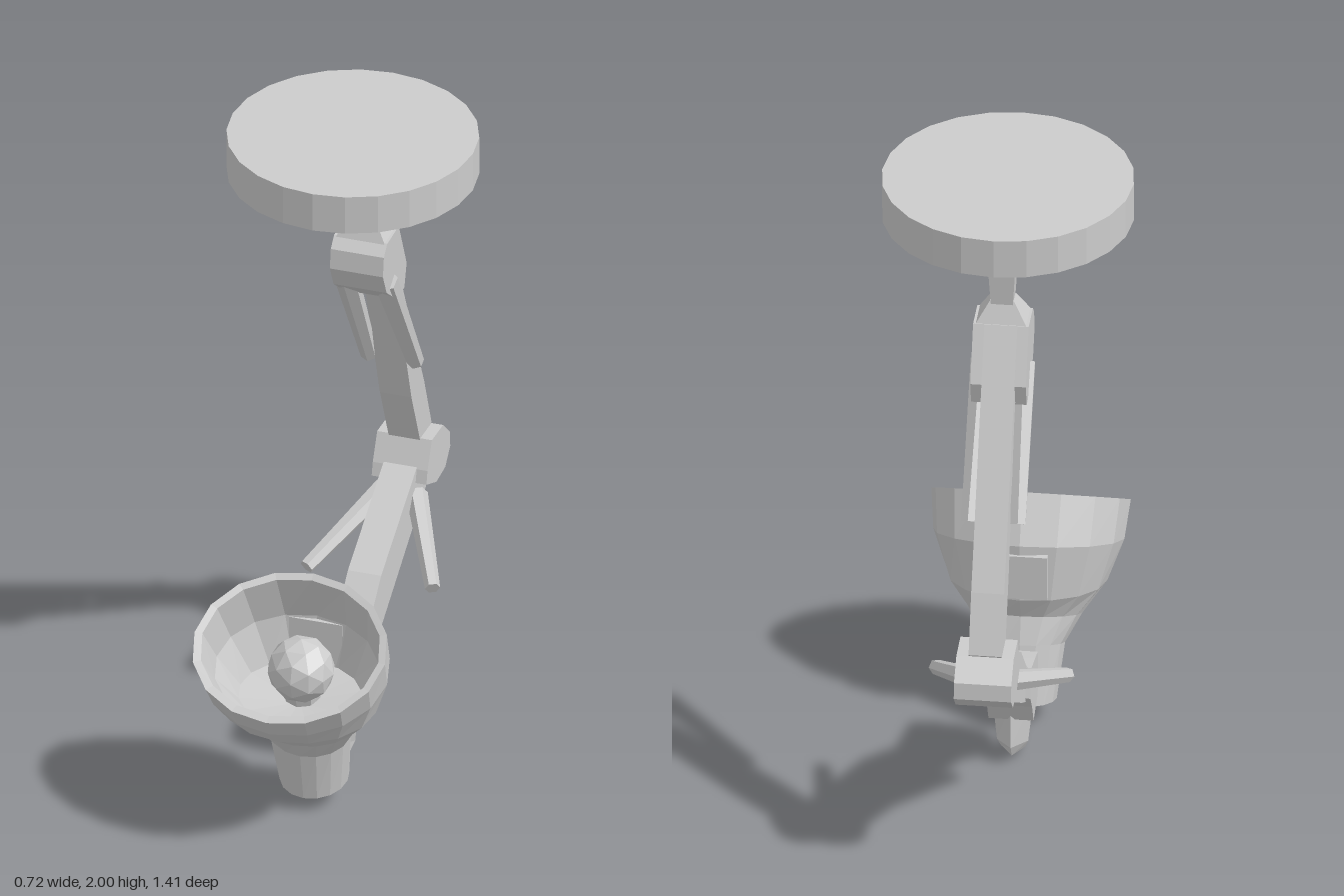
import * as THREE from 'three';

const material = new THREE.MeshStandardMaterial({ color: 0xcccccc, flatShading: true });

function part(group, name, geometry) {
  const mesh = new THREE.Mesh(geometry, material);
  mesh.name = name;
  group.add(mesh);
  return mesh;
}

// Side outline given as [z, y] points, extruded symmetrically across x.
function plate(points, width) {
  const shape = new THREE.Shape(points.map(([z, y]) => new THREE.Vector2(z, y)));
  const g = new THREE.ExtrudeGeometry(shape, { depth: width, bevelEnabled: false });
  g.translate(0, 0, -width / 2);
  g.rotateY(-Math.PI / 2);
  return g;
}

// Elliptical rings [zA, yA, zB, yB, halfWidth] joined in order; A and B are opposite points.
function loft(sections, sides) {
  const pos = [], index = [];
  for (const [za, ya, zb, yb, rx] of sections) {
    for (let j = 0; j < sides; j++) {
      const t = (j / sides) * Math.PI * 2, s = Math.sin(t);
      pos.push(rx * Math.cos(t), (ya + yb) / 2 + s * (ya - yb) / 2, (za + zb) / 2 + s * (za - zb) / 2);
    }
  }
  for (let i = 0; i < sections.length - 1; i++) {
    for (let j = 0; j < sides; j++) {
      const a = i * sides + j, b = i * sides + (j + 1) % sides;
      index.push(a, a + sides, b, b, a + sides, b + sides);
    }
  }
  const g = new THREE.BufferGeometry();
  g.setAttribute('position', new THREE.Float32BufferAttribute(pos, 3));
  g.setIndex(index);
  const flat = g.toNonIndexed();
  flat.computeVertexNormals();
  return flat;
}

// Straight tapered rod between two points.
function rod(a, b, ra, rb, sides = 6) {
  const from = new THREE.Vector3(...a), to = new THREE.Vector3(...b);
  const dir = to.clone().sub(from);
  const g = new THREE.CylinderGeometry(rb, ra, dir.length(), sides);
  g.applyQuaternion(new THREE.Quaternion().setFromUnitVectors(new THREE.Vector3(0, 1, 0), dir.normalize()));
  g.translate(...from.add(to).multiplyScalar(0.5).toArray());
  return g;
}

export function createModel() {
  const model = new THREE.Group();
  model.name = 'articulatedLamp';

  // Round mounting plate and its stem
  const base = part(model, 'mountingPlate', new THREE.CylinderGeometry(0.362, 0.362, 0.12, 24));
  base.position.set(0, 1.94, -0.075);
  const stem = new THREE.CylinderGeometry(0.064, 0.045, 0.22, 4);
  stem.rotateY(Math.PI / 4);
  part(model, 'stem', stem).position.set(0, 1.775, -0.195);
  const collar = new THREE.CylinderGeometry(0.045, 0.095, 0.065, 4);
  collar.rotateY(Math.PI / 4);
  collar.scale(1.1, 1, 0.8);
  part(model, 'stemCollar', collar).position.set(0, 1.64, -0.195);

  // Upper arm
  part(model, 'shoulderJoint', plate([
    [-0.145, 1.61], [-0.25, 1.61], [-0.32, 1.45], [-0.3, 1.38], [-0.23, 1.38],
    [-0.14, 1.45], [-0.107, 1.52], [-0.115, 1.58]], 0.16));
  part(model, 'upperArm', plate([
    [-0.2, 1.6], [-0.25, 1.61], [-0.575, 0.91], [-0.64, 0.74], [-0.6, 0.68],
    [-0.54, 0.73], [-0.46, 0.92], [-0.33, 1.33]], 0.095));

  // Elbow and lower arm
  part(model, 'elbowJoint', plate([
    [-0.54, 0.74], [-0.64, 0.735], [-0.7, 0.68], [-0.705, 0.63], [-0.66, 0.585],
    [-0.58, 0.58], [-0.49, 0.62], [-0.5, 0.66]], 0.165));
  part(model, 'lowerArm', plate([
    [-0.5, 0.665], [-0.6, 0.66], [-0.62, 0.58], [-0.155, 0.3], [-0.03, 0.23],
    [0.02, 0.32], [-0.05, 0.36], [-0.18, 0.485]], 0.1));

  // Springs beside both arms
  for (const side of [1, -1]) {
    const name = side > 0 ? 'left' : 'right';
    part(model, name + 'UpperSpring', rod([side * 0.06, 1.46, -0.19], [side * 0.07, 1.06, -0.43], 0.036, 0.025));
    part(model, name + 'LowerSpring', rod([side * 0.05, 0.58, -0.5], [side * 0.19, 0.445, -0.225], 0.032, 0.022));
  }

  // Wrist joint and curved bracket that carries the head
  part(model, 'wristJoint', plate([
    [0.1, 0.32], [0.04, 0.335], [-0.05, 0.355], [-0.08, 0.27], [-0.04, 0.22],
    [0, 0.15], [0.1, 0.18], [0.108, 0.25]], 0.13));
  part(model, 'headBracket', loft([
    [0.05, 0.2, 0.05, 0.2, 0], [-0.01, 0.2, 0.105, 0.2, 0.06], [-0.01, 0.06, 0.085, 0.06, 0.045],
    [0.015, 0.02, 0.085, 0.045, 0.035], [0.07, 0, 0.11, 0.045, 0.03], [0.25, 0, 0.21, 0.055, 0.03],
    [0.31, 0.045, 0.26, 0.09, 0.03], [0.285, 0.07, 0.285, 0.07, 0]], 4));

  // Lamp head: socket, flared shell, rim and hollow inside
  part(model, 'lampShade', loft([
    [0.27, 0.068, 0.27, 0.068, 0], [0.37, 0.045, 0.17, 0.09, 0.1], [0.4, 0.2, 0.212, 0.27, 0.12],
    [0.46, 0.27, 0.24, 0.35, 0.165], [0.6, 0.36, 0.21, 0.42, 0.23], [0.665, 0.42, 0.21, 0.6, 0.275],
    [0.705, 0.48, 0.28, 0.74, 0.287], [0.68, 0.49, 0.295, 0.725, 0.265], [0.62, 0.43, 0.245, 0.58, 0.24],
    [0.55, 0.38, 0.25, 0.43, 0.18], [0.4, 0.38, 0.4, 0.38, 0]], 16));
  part(model, 'shadeVent', plate([[0.26, 0.43], [0.26, 0.57], [0.203, 0.57], [0.203, 0.43]], 0.16));

  // Bulb
  part(model, 'bulb', new THREE.IcosahedronGeometry(0.098, 1)).position.set(0, 0.485, 0.39);
  part(model, 'bulbNeck', rod([0, 0.36, 0.37], [0, 0.45, 0.39], 0.05, 0.06, 8));

  return model;
}
